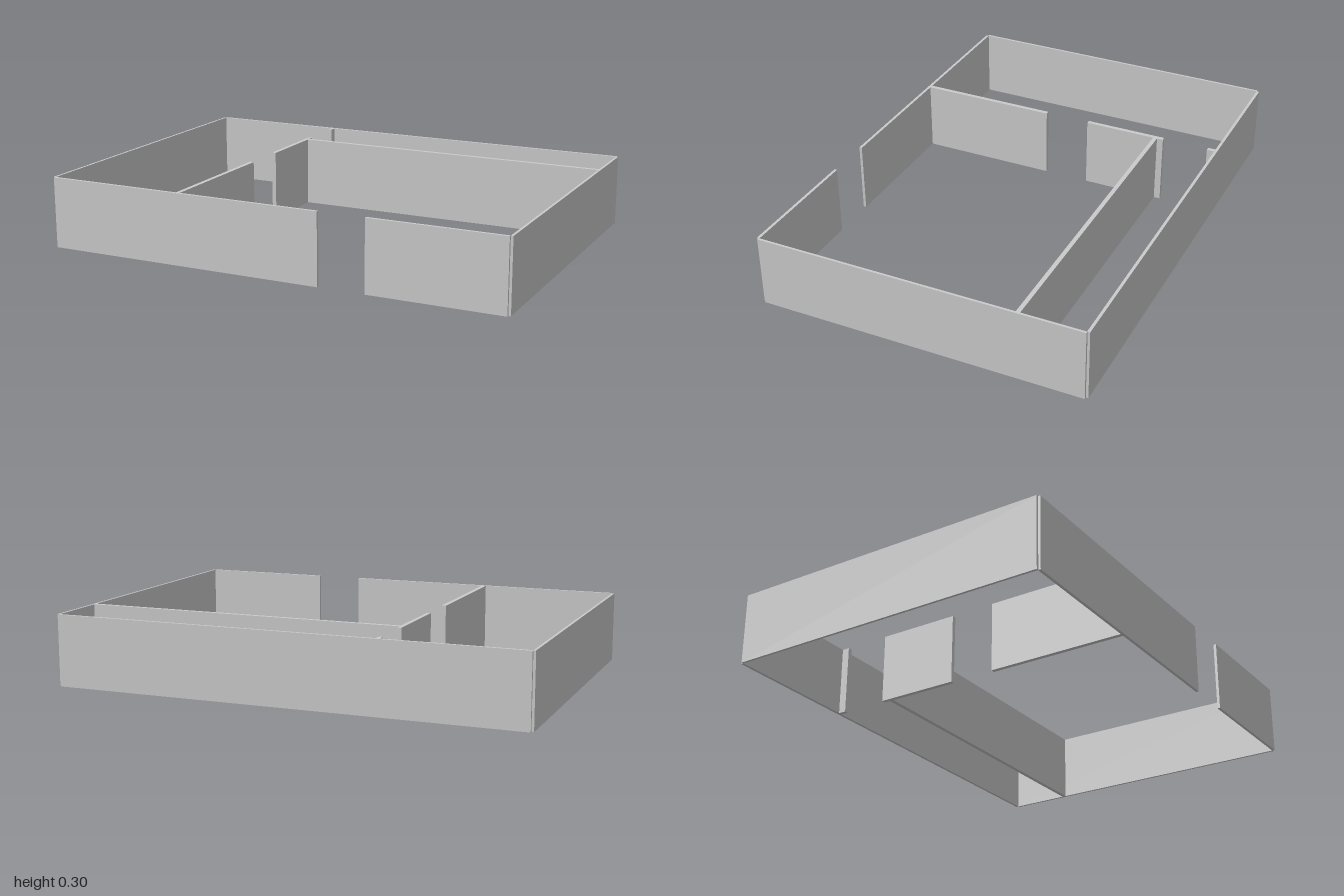
import * as THREE from 'three';

const HEIGHT = 0.3;
const material = new THREE.MeshStandardMaterial({ color: 0xcccccc, flatShading: true });

// Upright wall standing on the ground, filling a rectangle of the floor plan
function wall(name, x0, x1, z0, z1) {
  const mesh = new THREE.Mesh(new THREE.BoxGeometry(x1 - x0, HEIGHT, z1 - z0), material);
  mesh.name = name;
  mesh.position.set((x0 + x1) / 2, HEIGHT / 2, (z0 + z1) / 2);
  return mesh;
}

export function createModel() {
  const model = new THREE.Group();
  model.name = 'floorPlan';

  // Outer walls, meeting only at their inner corners; the front has a doorway
  const outer = new THREE.Group();
  outer.name = 'outerWalls';
  outer.add(
    wall('backWall', -0.99, 0.99, -0.7, -0.688),
    wall('rightWall', -1, -0.99, -0.69, 0.69),
    wall('leftWall', 0.99, 1, -0.69, 0.69),
    wall('frontWallRight', -0.99, 0.225, 0.688, 0.7),
    wall('frontWallLeft', 0.425, 0.99, 0.688, 0.7),
  );

  // Partition running front to back, broken by two doorways
  const partition = new THREE.Group();
  partition.name = 'partitionWalls';
  const spans = [[-0.69, -0.655], [-0.455, -0.1], [0.097, 0.69]];
  spans.forEach(([z0, z1], i) => partition.add(wall(`partition${i + 1}`, -0.406, -0.388, z0, z1)));

  // Long cross wall closing off the back room
  partition.add(wall('crossWall', -0.388, 0.99, -0.428, -0.41));

  model.add(outer, partition);
  return model;
}
